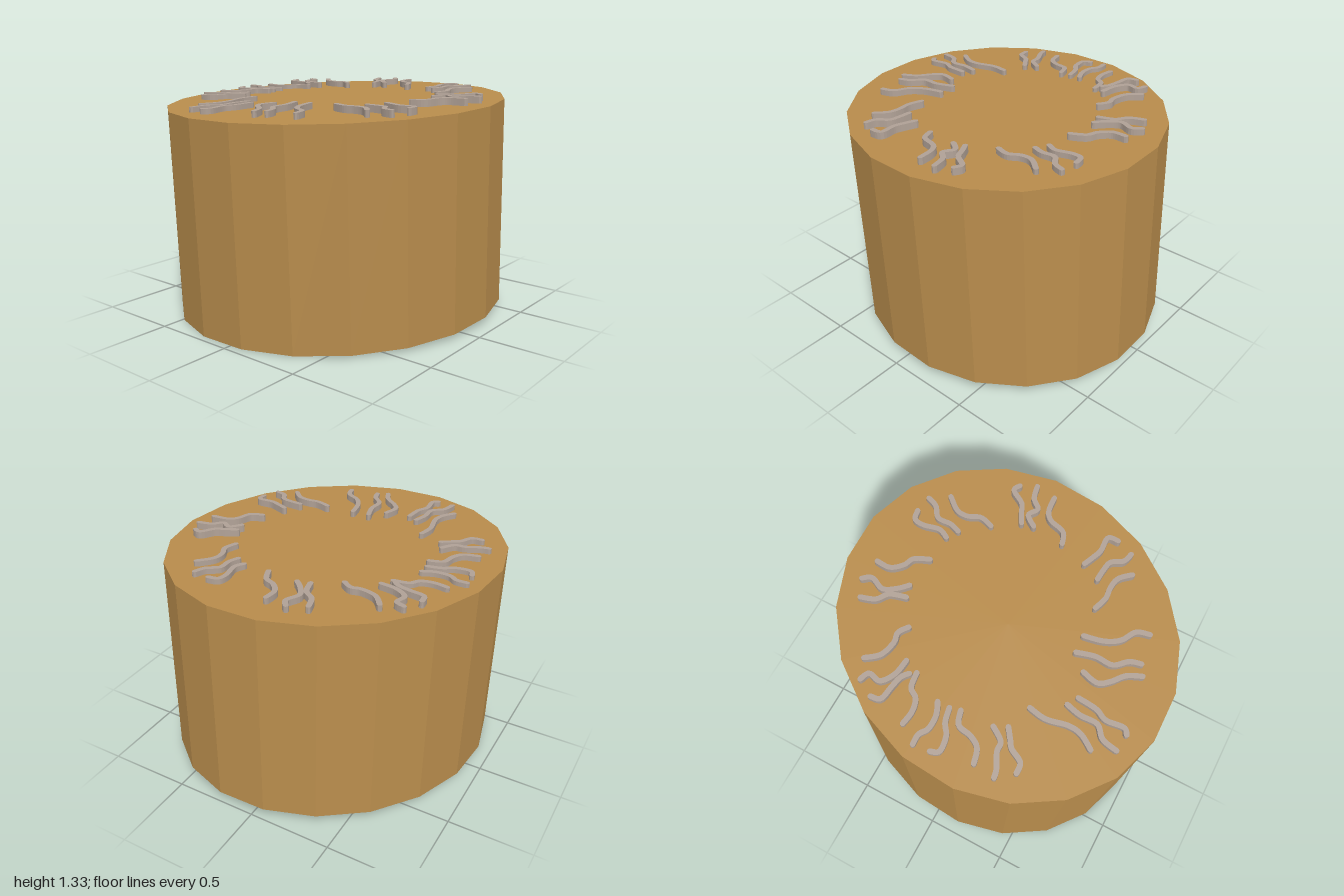
import * as THREE from 'three';

const HEIGHT = 1.233;
const TOP_Z = 0.025; // z of the centre of the tilted top face

const bodyMaterial = new THREE.MeshStandardMaterial({ color: 0xb88c4c, flatShading: true });
const ridgeMaterial = new THREE.MeshStandardMaterial({ color: 0xb0a196 });

// Wavy strip with rounded ends, lying on the top face; points are x, z pairs
function ridgeGeometry(coords, height) {
  const halfWidth = 0.015, sink = 0.012, steps = 22;
  const pts = [];
  for (let i = 0; i < coords.length; i += 2) pts.push(new THREE.Vector2(coords[i], TOP_Z - coords[i + 1]));
  const curve = new THREE.SplineCurve(pts);
  const left = [], right = [];
  const offset = (p, angle) => new THREE.Vector2(p.x + halfWidth * Math.cos(angle), p.y + halfWidth * Math.sin(angle));
  for (let i = 0; i <= steps; i++) {
    const t = i / steps, p = curve.getPoint(t), a = curve.getTangent(t).angle();
    right.push(offset(p, a - Math.PI / 2));
    left.push(offset(p, a + Math.PI / 2));
  }
  const cap = (t, side) => {
    const p = curve.getPoint(t), a = curve.getTangent(t).angle() + side;
    return [-1, 0, 1].map((k) => offset(p, a + k * Math.PI / 4));
  };
  const outline = [...right, ...cap(1, 0), ...left.reverse(), ...cap(0, Math.PI)];
  const geometry = new THREE.ExtrudeGeometry(new THREE.Shape(outline), { depth: height + sink, bevelEnabled: false });
  return geometry.rotateX(-Math.PI / 2).translate(0, HEIGHT - sink, 0);
}

function ridgeCluster(name, height, ...curves) {
  const cluster = new THREE.Group();
  cluster.name = name;
  curves.forEach((coords, i) => {
    const ridge = new THREE.Mesh(ridgeGeometry(coords, height), ridgeMaterial);
    ridge.name = `wavyRidge${i + 1}`;
    cluster.add(ridge);
  });
  return cluster;
}

export function createModel() {
  const model = new THREE.Group();
  model.name = 'drum';

  // Slightly skewed oval drum with twenty sides
  const skew = new THREE.Matrix4().set(
    0.928, 0, 0.08, 0,
    0, 1, 0, HEIGHT / 2,
    -0.175, 0, 0.972, 0,
    0, 0, 0, 1);
  const body = new THREE.Mesh(new THREE.CylinderGeometry(1, 1, HEIGHT, 20).applyMatrix4(skew), bodyMaterial);
  body.name = 'body';

  // Ring of wavy ridges, three to a cluster, each traced from the rim inward
  const ridges = new THREE.Group();
  ridges.name = 'ridges';
  ridges.add(
    ridgeCluster('backRidges', 0.035,
      [-0.26, -0.75, -0.23, -0.67, -0.17, -0.62, -0.14, -0.53],
      [-0.16, -0.8, -0.13, -0.75, -0.16, -0.67, -0.12, -0.6, -0.07, -0.55],
      [-0.03, -0.78, -0.03, -0.7, 0.02, -0.64, 0.08, -0.61, 0.12, -0.53]),
    ridgeCluster('backLeftRidges', 0.03,
      [0.355, -0.745, 0.3, -0.73, 0.29, -0.67, 0.31, -0.58, 0.285, -0.52],
      [0.455, -0.73, 0.43, -0.67, 0.37, -0.62, 0.37, -0.54, 0.35, -0.48],
      [0.525, -0.625, 0.465, -0.55, 0.46, -0.48, 0.49, -0.41, 0.47, -0.335]),
    ridgeCluster('leftRidges', 0.04,
      [0.775, -0.31, 0.73, -0.325, 0.68, -0.25, 0.62, -0.22, 0.565, -0.19],
      [0.82, -0.22, 0.74, -0.2, 0.69, -0.15, 0.63, -0.18, 0.58, -0.12],
      [0.8, -0.1, 0.71, -0.09, 0.66, -0.05, 0.63, 0.04, 0.56, 0.07]),
    ridgeCluster('frontLeftRidges', 0.04,
      [0.73, 0.34, 0.72, 0.28, 0.63, 0.28, 0.57, 0.26, 0.51, 0.235],
      [0.69, 0.44, 0.63, 0.42, 0.59, 0.36, 0.53, 0.345, 0.46, 0.34],
      [0.58, 0.5, 0.52, 0.44, 0.45, 0.425, 0.38, 0.43, 0.3, 0.405]),
    ridgeCluster('frontRidges', 0.035,
      [0.305, 0.735, 0.28, 0.66, 0.2, 0.61, 0.15, 0.53, 0.125, 0.42],
      [0.13, 0.765, 0.11, 0.7, 0.05, 0.63, 0.05, 0.53, 0.02, 0.425],
      [0.07, 0.8, 0.03, 0.72, -0.04, 0.66, -0.08, 0.6, -0.06, 0.51]),
    ridgeCluster('frontRightRidges', 0.03,
      [-0.26, 0.86, -0.23, 0.83, -0.24, 0.73, -0.21, 0.66, -0.2, 0.55],
      [-0.36, 0.85, -0.34, 0.76, -0.28, 0.7, -0.28, 0.6, -0.26, 0.515],
      [-0.42, 0.73, -0.37, 0.65, -0.36, 0.57, -0.385, 0.45, -0.37, 0.35]),
    ridgeCluster('rightFrontRidges', 0.03,
      [-0.71, 0.45, -0.65, 0.44, -0.61, 0.37, -0.57, 0.34, -0.515, 0.3],
      [-0.785, 0.36, -0.74, 0.35, -0.66, 0.31, -0.6, 0.3, -0.55, 0.23],
      [-0.77, 0.235, -0.69, 0.21, -0.65, 0.15, -0.63, 0.07, -0.555, 0.04]),
    ridgeCluster('rightRidges', 0.025,
      [-0.82, 0.005, -0.795, 0.05, -0.71, 0.04, -0.65, 0, -0.57, -0.02],
      [-0.83, -0.09, -0.77, -0.09, -0.72, -0.06, -0.64, -0.06, -0.57, -0.09],
      [-0.76, -0.19, -0.68, -0.18, -0.61, -0.2, -0.57, -0.25, -0.485, -0.265]),
    ridgeCluster('rightBackRidges', 0.035,
      [-0.715, -0.41, -0.7, -0.355, -0.62, -0.34, -0.55, -0.325, -0.51, -0.295],
      [-0.66, -0.505, -0.61, -0.48, -0.62, -0.41, -0.55, -0.36, -0.455, -0.345],
      [-0.55, -0.55, -0.49, -0.48, -0.4, -0.455, -0.34, -0.465, -0.285, -0.43]));

  // The whole drum leans slightly towards the front
  const tilt = new THREE.Group();
  tilt.name = 'tiltedDrum';
  tilt.rotation.x = 0.037;
  tilt.position.set(0, 0.036, -0.021);
  tilt.add(body, ridges);
  model.add(tilt);
  return model;
}
